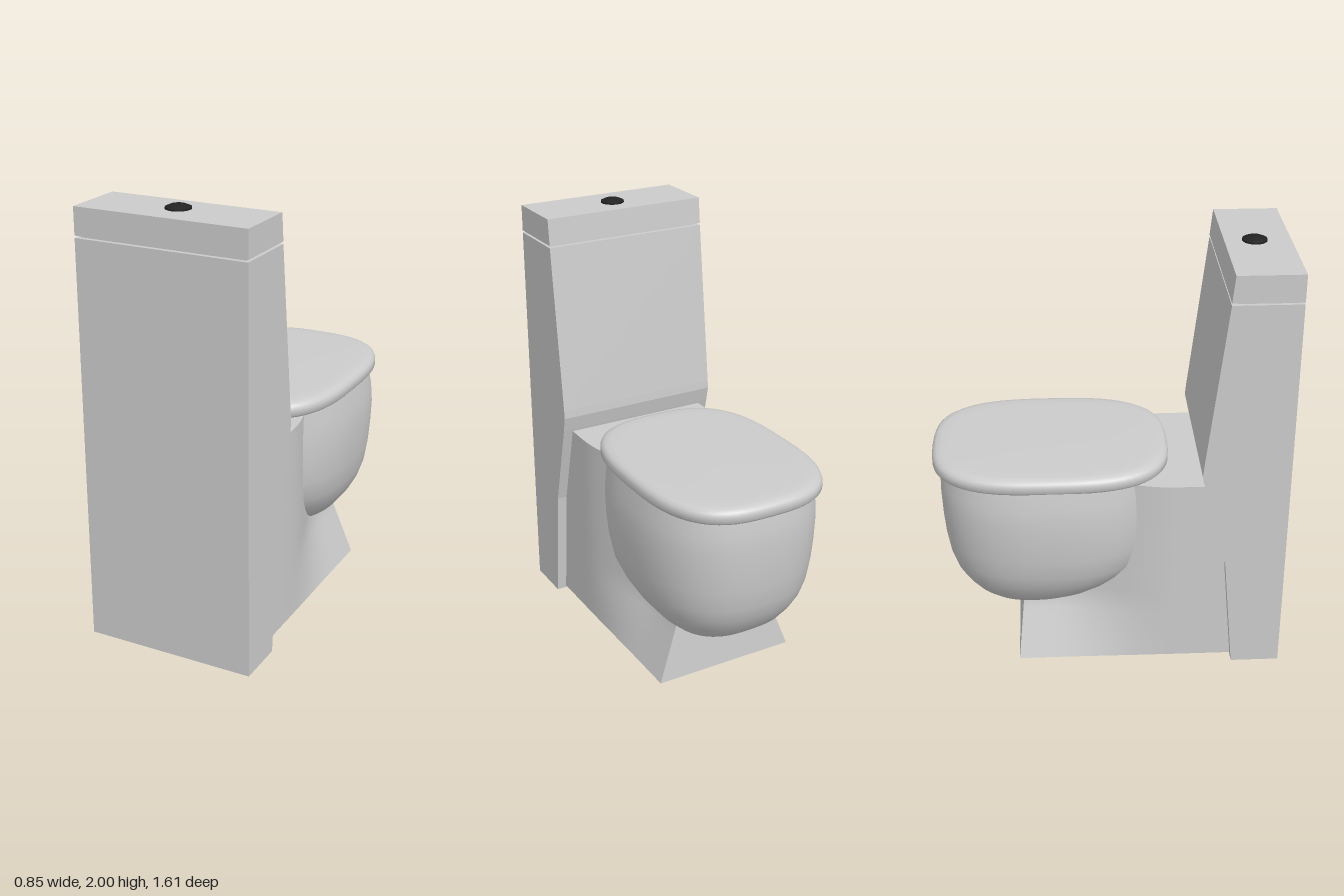
import * as THREE from 'three';
import { toCreasedNormals } from 'three/addons/utils/BufferGeometryUtils.js';

const grey = new THREE.MeshStandardMaterial({ color: 0xcccccc });
const dark = new THREE.MeshStandardMaterial({ color: 0x222222 });

// Closed skin over a stack of horizontal rings, listed from bottom to top
function loft(rings, crease) {
  const n = rings[0].length, pos = [], idx = [];
  rings.forEach(r => r.forEach(p => pos.push(...p)));
  for (let i = 0; i < rings.length - 1; i++) {
    for (let j = 0; j < n; j++) {
      const a = i * n + j, b = i * n + (j + 1) % n;
      idx.push(a, a + n, b, b, a + n, b + n);
    }
  }
  [0, rings.length - 1].forEach((i, top) => {
    const c = pos.length / 3, r = rings[i];
    pos.push(0, r[0][1], r.reduce((s, p) => s + p[2], 0) / n);
    for (let j = 0; j < n; j++) {
      const a = i * n + j, b = i * n + (j + 1) % n;
      if (top) idx.push(c, b, a); else idx.push(c, a, b);
    }
  });
  const g = new THREE.BufferGeometry();
  g.setAttribute('position', new THREE.Float32BufferAttribute(pos, 3));
  g.setIndex(idx);
  return toCreasedNormals(g, crease);
}

// Rounded-square ring between zFront and zBack, with half width w
function oval(y, w, zFront, zBack, power, n = 64) {
  const mid = (zFront + zBack) / 2, half = (zBack - zFront) / 2;
  const bend = v => Math.sign(v) * Math.abs(v) ** (2 / power);
  return Array.from({ length: n }, (_, j) => {
    const a = j / n * Math.PI * 2;
    return [w * bend(Math.cos(a)), y, mid + half * bend(Math.sin(a))];
  });
}

// Side profile (z, y) extruded across x
function slab(profile, width) {
  const shape = new THREE.Shape(profile.map(p => new THREE.Vector2(...p)));
  const g = new THREE.ExtrudeGeometry(shape, { depth: width, bevelEnabled: false });
  return g.rotateY(-Math.PI / 2).translate(width / 2, 0, 0);
}

// Foot: straight at the rear, pinched above the floor towards the bowl end
function pedestalGeometry() {
  const rows = 16, cols = 20, rings = [];
  for (let i = 0; i <= rows; i++) {
    const y = 0.01 + 0.94 * i / rows;
    const zBack = y < 0.55 ? 0.59 - 0.05 * y / 0.55 : 0.54 - 0.11 * (y - 0.55) / 0.4;
    const zFront = -0.43 + 0.1 * y;
    const side = [];
    for (let j = 0; j <= cols; j++) {
      const z = zFront + (zBack - zFront) * j / cols;
      const pinch = 1 - THREE.MathUtils.smoothstep(z, -0.25, 0.3);
      side.push([0.35 - 0.11 * pinch * Math.min(1, y / 0.3), y, z]);
    }
    rings.push([...side, ...side.slice().reverse().map(([x, h, z]) => [-x, h, z])]);
  }
  return loft(rings, 0.6);
}

export function createModel() {
  const model = new THREE.Group();
  const add = (name, geometry, material = grey) => {
    const mesh = new THREE.Mesh(geometry, material);
    mesh.name = name;
    model.add(mesh);
    return mesh;
  };

  // Cistern with its lid, shadow gap and flush button
  add('cistern', slab([[0.805, 0], [0.805, 1.848], [0.5, 1.848], [0.413, 1.07],
    [0.41, 1.03], [0.425, 0.96], [0.53, 0.55], [0.58, 0]], 0.795));
  add('cisternGap', new THREE.BoxGeometry(0.76, 0.03, 0.26).translate(0, 1.853, 0.655));
  add('cisternLid', slab([[0.805, 1.858], [0.805, 1.98], [0.512, 1.98], [0.5, 1.858]], 0.795));
  const button = [[0, 1.975], [0.055, 1.975], [0.055, 1.988], [0.035, 1.997], [0, 2]];
  add('flushButton', toCreasedNormals(new THREE.LatheGeometry(
    button.map(p => new THREE.Vector2(...p)), 20), 0.6), dark).position.z = 0.645;

  add('pedestal', pedestalGeometry());

  // Bowl: y, half width, front z, back z
  const bowl = [
    [0.24, 0.1, -0.5, -0.3], [0.25, 0.19, -0.55, -0.2], [0.28, 0.25, -0.6, -0.09],
    [0.32, 0.295, -0.65, 0], [0.37, 0.335, -0.69, 0.08], [0.43, 0.37, -0.725, 0.15],
    [0.5, 0.397, -0.748, 0.21], [0.6, 0.414, -0.764, 0.24], [0.7, 0.422, -0.772, 0.25],
    [0.8, 0.426, -0.776, 0.25], [0.88, 0.42, -0.774, 0.25], [0.965, 0.405, -0.76, 0.25],
  ];
  add('bowl', loft(bowl.map(r => oval(...r, 2.5)), 0.9));

  // Closed seat cover: y and inset of each ring
  const cover = [[0.955, 0.03], [0.96, 0.01], [0.972, 0], [1.0, 0],
    [1.015, 0.006], [1.025, 0.02], [1.03, 0.045], [1.031, 0.1]];
  add('seatCover', loft(cover.map(([y, d]) =>
    oval(y, 0.412 - d, -0.805 + d, 0.285 - d, 2.9)), 0.9));

  return model;
}
